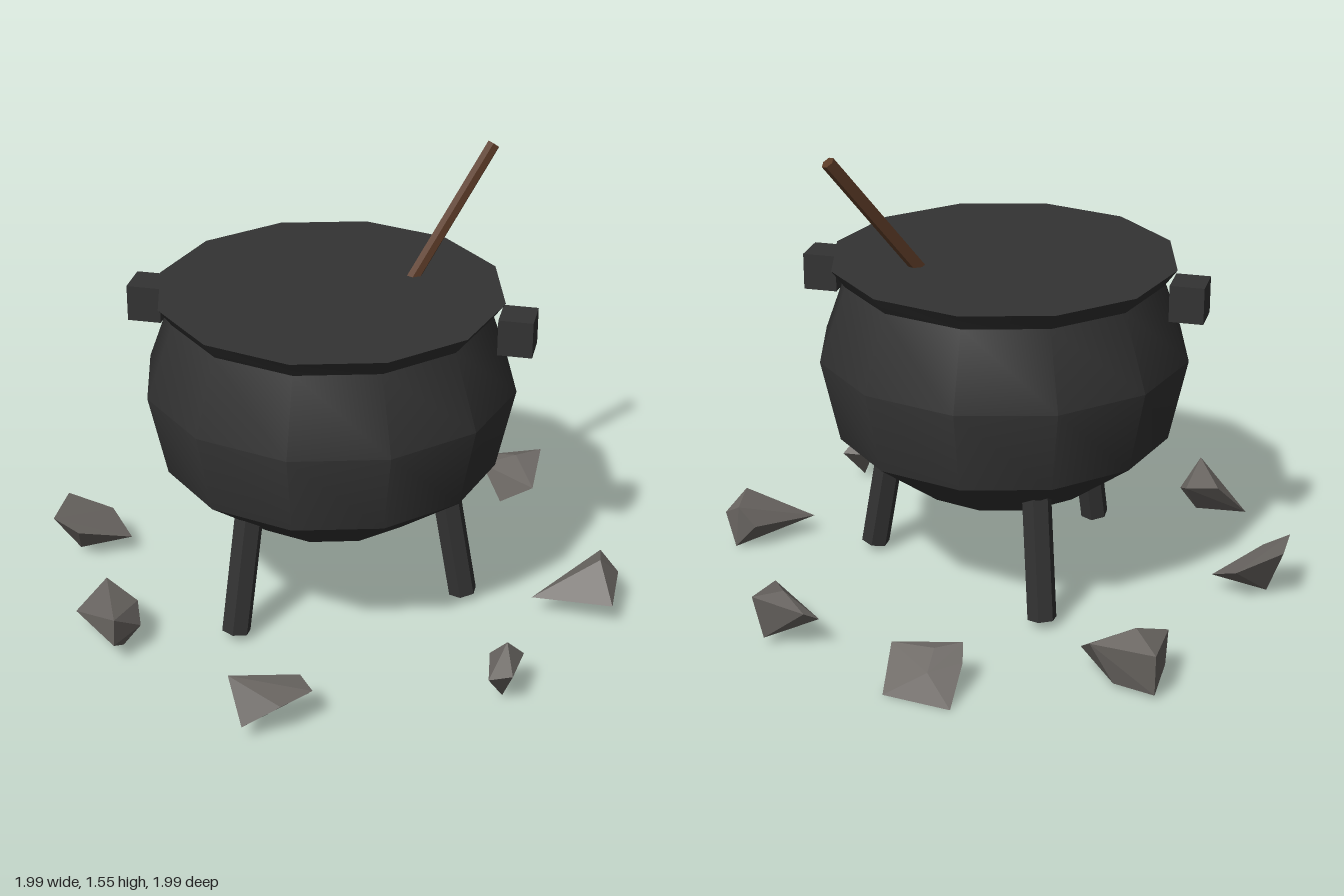
import * as THREE from 'three';
import { toCreasedNormals } from 'three/addons/utils/BufferGeometryUtils.js';
import { ConvexGeometry } from 'three/addons/geometries/ConvexGeometry.js';

const V = (x, y, z) => new THREE.Vector3(x, y, z);

function material(name, color) {
  const m = new THREE.MeshStandardMaterial({ color });
  m.name = name;
  return m;
}

function part(name, geometry, mat) {
  const mesh = new THREE.Mesh(geometry, mat);
  mesh.name = name;
  return mesh;
}

// Six-sided bar running from point a up to point b
function bar(name, a, b, radius, mat) {
  const dir = b.clone().sub(a);
  const geo = new THREE.CylinderGeometry(radius, radius, dir.length(), 6);
  const mesh = part(name, toCreasedNormals(geo, 0.5), mat);
  mesh.position.copy(a).add(b).multiplyScalar(0.5);
  mesh.quaternion.setFromUnitVectors(V(0, 1, 0), dir.normalize());
  return mesh;
}

// Corner points of each rock in the ring
const ROCKS = {
  backRock: [[-0.1, 0.005, -1], [0.13, 0.005, -0.965], [0.14, 0.12, -0.83], [-0.09, 0.14, -0.81],
    [-0.105, 0.1, -0.87], [-0.01, 0.09, -0.94], [-0.01, 0.135, -0.86]],
  frontRock: [[-0.14, 0.2, 0.92], [0.06, 0.14, 0.78], [0.115, 0.125, 0.84], [0.035, 0.12, 0.94],
    [-0.08, 0.06, 0.99], [0.06, 0.08, 0.78]],
  leftRock: [[0.71, 0.07, 0.06], [0.86, 0.1, -0.14], [0.92, 0.17, -0.14], [0.99, 0.12, -0.09],
    [0.99, 0.09, 0.09], [0.94, 0.01, -0.13], [0.93, 0.195, -0.03]],
  rightRock: [[-1, 0.2, -0.07], [-1, 0.19, 0.1], [-0.85, 0.13, -0.115], [-0.755, 0.07, -0.03],
    [-0.91, 0.14, 0.1], [-0.94, 0.02, 0]],
  backRightRock: [[-0.705, 0.17, -0.8], [-0.485, 0.16, -0.755], [-0.43, 0.075, -0.63], [-0.705, 0.15, -0.585],
    [-0.62, 0.2, -0.69], [-0.7, 0.02, -0.78], [-0.56, 0.02, -0.74], [-0.7, 0.03, -0.6]],
  frontRightRock: [[-0.795, 0.07, 0.48], [-0.7, 0.18, 0.42], [-0.575, 0.14, 0.475], [-0.54, 0.1, 0.56],
    [-0.595, 0.18, 0.67], [-0.6, 0.02, 0.57], [-0.6, 0.08, 0.67]],
  backLeftRock: [[0.41, 0.12, -0.75], [0.45, 0.15, -0.785], [0.625, 0.19, -0.785], [0.625, 0.14, -0.57],
    [0.5, 0.04, -0.62], [0.54, 0.19, -0.72], [0.6, 0.03, -0.76]],
  frontLeftRock: [[0.63, 0.12, 0.5], [0.69, 0.19, 0.53], [0.74, 0.125, 0.485], [0.725, 0.13, 0.635],
    [0.65, 0.12, 0.655], [0.685, 0.01, 0.57]],
};

export function createModel() {
  const model = new THREE.Group();
  model.name = 'cauldronWithRocks';
  const iron = material('castIron', 0x333333);
  const wood = material('stirringWood', 0x5a3a26);
  const stone = material('stone', 0x6a6662);

  const cauldron = new THREE.Group();
  cauldron.name = 'cauldron';
  cauldron.position.set(-0.012, 0, 0.006);
  model.add(cauldron);

  // Twelve-sided pot, closed by a flat surface at the rim
  const profile = [[0, 0.355], [0.32, 0.355], [0.57, 0.545], [0.632, 0.83], [0.54, 1.085], [0.585, 1.145], [0, 1.145]]
    .map(([r, y]) => new THREE.Vector2(r, y));
  cauldron.add(part('pot', toCreasedNormals(new THREE.LatheGeometry(profile, 12), 0.65), iron));

  // Block handles on both sides
  for (const side of [-1, 1]) {
    const handle = part(side > 0 ? 'leftHandle' : 'rightHandle', new THREE.BoxGeometry(0.115, 0.125, 0.125), iron);
    handle.position.set(side * 0.628, 1.05, 0);
    cauldron.add(handle);
  }

  // Three splayed legs
  for (let i = 0; i < 3; i++) {
    const a = (i * Math.PI * 2) / 3;
    const at = (r, y) => V(Math.cos(a) * r, y, Math.sin(a) * r);
    cauldron.add(bar('leg' + (i + 1), at(0.473, 0.03), at(0.4, 0.45), 0.05, iron));
  }

  // Stirring stick
  model.add(bar('stirringStick', V(0.2, 1.07, -0.12), V(0.46, 1.545, -0.385), 0.023, wood));

  // Ring of rocks on the ground
  const rocks = new THREE.Group();
  rocks.name = 'rockRing';
  for (const [name, points] of Object.entries(ROCKS)) {
    rocks.add(part(name, new ConvexGeometry(points.map((p) => V(...p))), stone));
  }
  model.add(rocks);
  return model;
}
